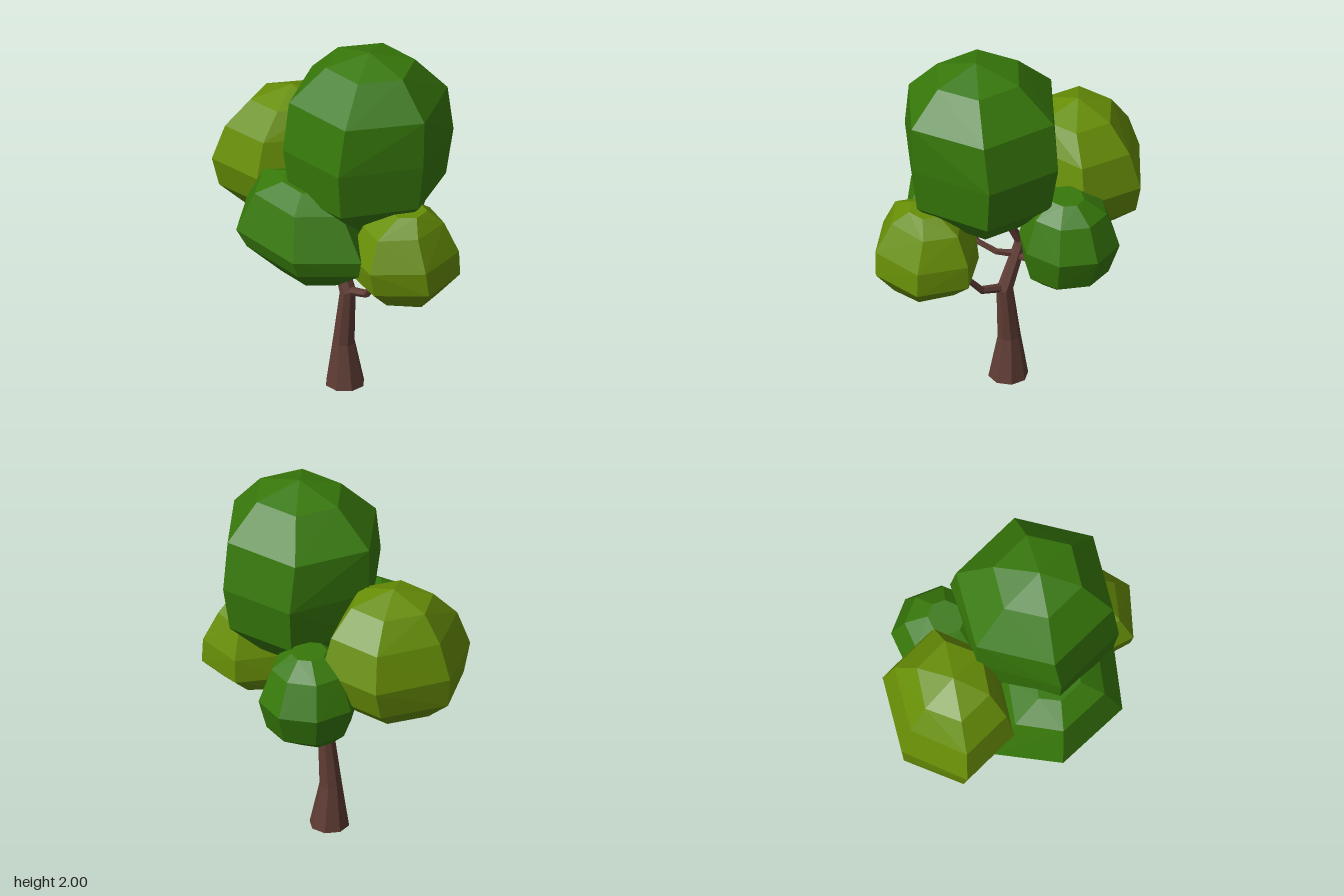
import * as THREE from 'three';
import { ConvexGeometry } from 'three/addons/geometries/ConvexGeometry.js';

const material = (name, color) => {
  const m = new THREE.MeshStandardMaterial({ color });
  m.name = name;
  return m;
};

// Faceted leaf mass: hull of polygon rings [y, xMin, xMax, zMin, zMax].
// phase turns the polygons, tilt raises the +x side, skew slides the front toward +x.
function leafMass(name, mat, rings, { sides = 6, phase = 0, tilt = 0, skew = 0 } = {}) {
  const corners = Array.from({ length: sides }, (_, i) => {
    const a = phase + i * Math.PI * 2 / sides;
    return [Math.cos(a), Math.sin(a)];
  });
  const sx = Math.max(...corners.map(([c]) => Math.abs(c)));
  const sz = Math.max(...corners.map(([, s]) => Math.abs(s)));
  const points = [];
  for (const [y, x0, x1, z0, z1] of rings) {
    const cx = (x0 + x1) / 2, cz = (z0 + z1) / 2;
    for (const [c, s] of x1 > x0 ? corners : [[0, 0]]) {
      const dx = c / sx * (x1 - x0) / 2, dz = s / sz * (z1 - z0) / 2;
      points.push(new THREE.Vector3(cx + dx + dz * skew, y + dx * tilt, cz + dz));
    }
  }
  const mesh = new THREE.Mesh(new ConvexGeometry(points), mat);
  mesh.name = name;
  return mesh;
}

// Tapered faceted limb through stations [x, y, z, radius], capped at both ends.
function limb(name, mat, stations, sides) {
  const centres = stations.map(([x, y, z]) => new THREE.Vector3(x, y, z));
  const last = centres.length - 1;
  const up = new THREE.Vector3(0, 1, 0);
  const pos = [], index = [];
  centres.forEach((c, k) => {
    const tangent = centres[Math.min(k + 1, last)].clone().sub(centres[Math.max(k - 1, 0)]).normalize();
    if (c.y === 0) tangent.copy(up);
    const turn = new THREE.Quaternion().setFromUnitVectors(up, tangent);
    for (let i = 0; i < sides; i++) {
      const a = (i + 0.5) / sides * Math.PI * 2;
      const r = stations[k][3];
      const p = new THREE.Vector3(r * Math.cos(a), 0, r * Math.sin(a)).applyQuaternion(turn).add(c);
      pos.push(p.x, p.y, p.z);
    }
  });
  for (let k = 0; k < last; k++) {
    for (let i = 0; i < sides; i++) {
      const a = k * sides + i, b = k * sides + (i + 1) % sides;
      index.push(a, a + sides, b, b, a + sides, b + sides);
    }
  }
  const top = last * sides;
  for (let i = 1; i < sides - 1; i++) {
    index.push(0, i, i + 1, top, top + i + 1, top + i);
  }
  const indexed = new THREE.BufferGeometry();
  indexed.setAttribute('position', new THREE.Float32BufferAttribute(pos, 3));
  indexed.setIndex(index);
  const geometry = indexed.toNonIndexed();
  geometry.computeVertexNormals();
  const mesh = new THREE.Mesh(geometry, mat);
  mesh.name = name;
  return mesh;
}

export function createModel() {
  const tree = new THREE.Group();
  tree.name = 'tree';
  const bark = material('bark brown', 0x5f3c34);
  const green = material('leaf green', 0x37790a);
  const olive = material('olive leaf', 0x688f07);

  // Trunk with flared foot, bending toward -x
  tree.add(limb('trunk', bark, [
    [0.017, 0, 0.035, 0.104], [0.01, 0.24, 0.038, 0.06],
    [0.038, 0.54, 0.035, 0.044], [-0.05, 0.77, 0.035, 0.034], [-0.06, 0.82, 0.035, 0.028],
  ], 8));

  // Branches reaching into each leaf mass
  const branches = {
    leftBranch: [[0.04, 0.545, 0.035, 0.024], [0.18, 0.58, 0.035, 0.021], [0.25, 0.66, 0.04, 0.019],
      [0.37, 0.685, 0.045, 0.016], [0.46, 0.77, 0.06, 0.012]],
    frontBranch: [[-0.04, 0.725, 0.035, 0.022], [0.06, 0.75, 0.08, 0.018], [0.13, 0.8, 0.15, 0.015],
      [0.16, 0.88, 0.22, 0.012]],
    backBranch: [[-0.04, 0.72, 0.03, 0.02], [-0.05, 0.74, -0.07, 0.018], [-0.08, 0.79, -0.15, 0.015],
      [-0.1, 0.88, -0.22, 0.012]],
    crownBranch: [[-0.055, 0.8, 0.035, 0.026], [0.02, 0.95, 0.035, 0.022], [0.14, 1.1, 0.035, 0.018]],
    rightBranch: [[-0.05, 0.79, 0.035, 0.024], [-0.17, 0.89, 0.03, 0.02], [-0.3, 0.98, 0.02, 0.016]],
  };
  for (const [name, stations] of Object.entries(branches)) tree.add(limb(name, bark, stations, 6));

  // Leaf masses
  tree.add(leafMass('topCrown', green, [
    [2.0, 0.21, 0.21, 0.04, 0.04], [1.93, -0.04, 0.45, -0.17, 0.23], [1.74, -0.24, 0.612, -0.33, 0.385],
    [1.48, -0.235, 0.605, -0.375, 0.43], [1.23, -0.2, 0.575, -0.335, 0.4], [1.06, -0.02, 0.4, -0.18, 0.24],
    [1.0, 0.19, 0.19, 0.03, 0.03],
  ]));
  tree.add(leafMass('rightLeaves', olive, [
    [1.57, -0.4, -0.4, 0.02, 0.02], [1.5, -0.6, -0.19, -0.17, 0.2], [1.36, -0.7, -0.12, -0.29, 0.31],
    [1.17, -0.765, -0.08, -0.345, 0.36], [1.01, -0.75, -0.1, -0.3, 0.32], [0.89, -0.62, -0.22, -0.17, 0.21],
    [0.845, -0.47, -0.33, -0.04, 0.08],
  ], { tilt: 0.04, skew: -0.13 }));
  tree.add(leafMass('leftLeaves', olive, [
    [1.2, 0.43, 0.6, -0.05, 0.14], [1.12, 0.32, 0.67, -0.16, 0.29], [0.96, 0.24, 0.755, -0.225, 0.365],
    [0.83, 0.23, 0.762, -0.225, 0.34], [0.72, 0.3, 0.67, -0.1, 0.22], [0.68, 0.41, 0.5, 0.02, 0.12],
  ], { phase: Math.PI / 12 }));
  tree.add(leafMass('frontLeaves', green, [
    [1.29, -0.1, 0.19, 0.25, 0.43], [1.22, -0.27, 0.33, 0.14, 0.54], [1.0, -0.405, 0.46, 0.05, 0.605],
    [0.91, -0.34, 0.435, 0.08, 0.57], [0.79, -0.1, 0.28, 0.2, 0.46],
  ], { tilt: -0.07 }));
  tree.add(leafMass('backLeaves', green, [
    [1.26, -0.2, -0.02, -0.42, -0.22], [1.18, -0.32, 0.08, -0.53, -0.12], [1.0, -0.38, 0.14, -0.605, -0.06],
    [0.83, -0.33, 0.11, -0.545, -0.1], [0.725, -0.22, 0.0, -0.38, -0.18],
  ], { sides: 8 }));
  return tree;
}
